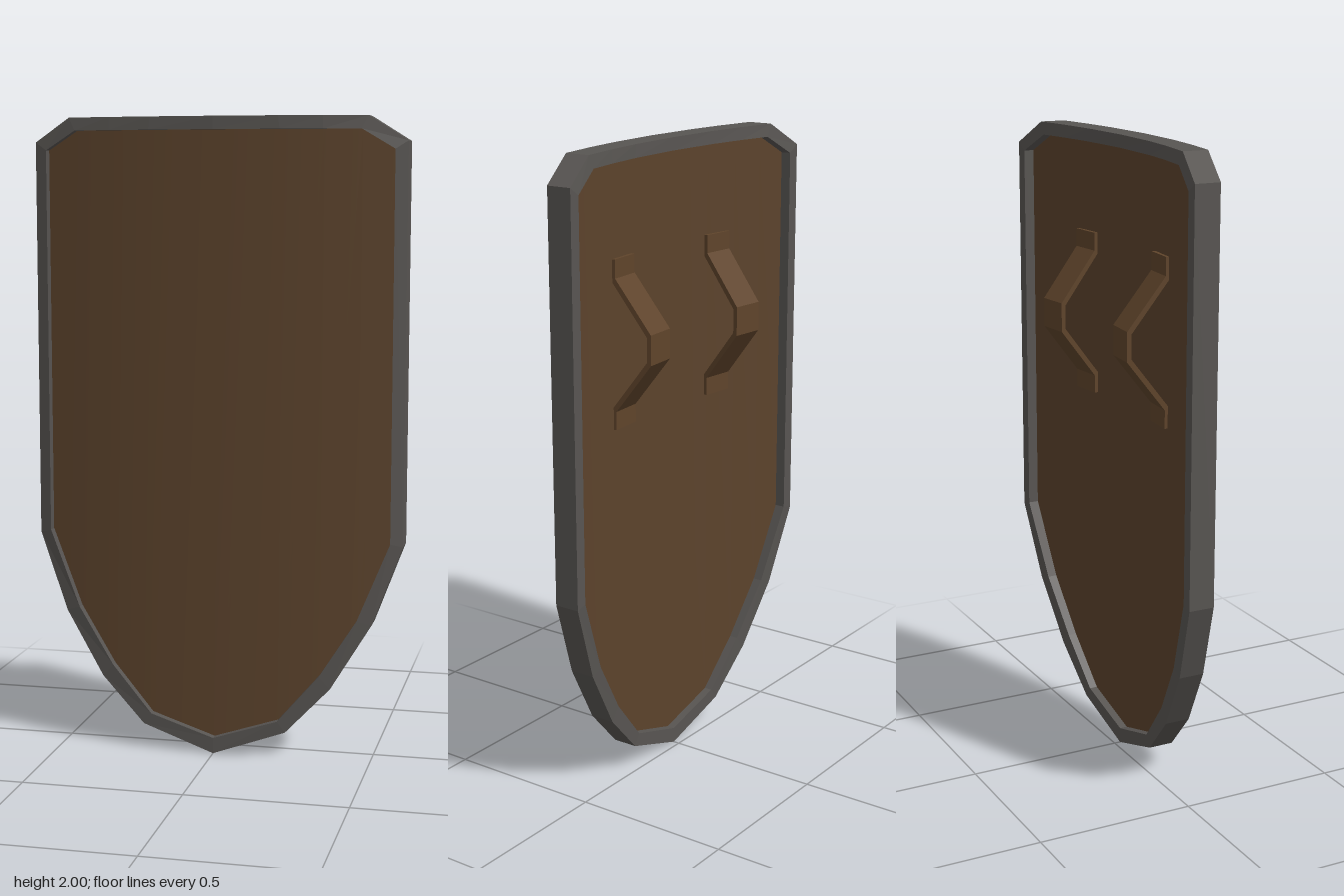
import * as THREE from 'three';

const steel = new THREE.MeshStandardMaterial({ color: 0x585552 });
steel.name = 'darkSteel';
steel.flatShading = true;
const wood = new THREE.MeshStandardMaterial({ color: 0x5c432c });
wood.name = 'brownWood';
const strapBrown = new THREE.MeshStandardMaterial({ color: 0x5f442b });
strapBrown.name = 'strapBrown';
strapBrown.flatShading = true;

// Half outlines as [x, y], from the centre line to the side
const outerBottom = [[0, 0], [0.23, 0.08], [0.37, 0.225], [0.495, 0.43], [0.588, 0.68]];
const outerTop = [[0, 2], [0.2, 2], [0.335, 2], [0.47, 2], [0.588, 1.925]];
const innerBottom = [[0, 0.05], [0.205, 0.115], [0.335, 0.265], [0.45, 0.445], [0.55, 0.69]];
const innerTop = [[0, 1.96], [0.205, 1.96], [0.335, 1.96], [0.45, 1.96], [0.55, 1.9]];

// Shield bows back towards its sides
const bow = (x, z, k) => z - k * x * x;
const mirror = (pts) => pts.slice(1).map(([x, y]) => [-x, y]);

// Closed loop, counter-clockwise seen from the front
const loop = (bottom, top) => [
  ...bottom, ...top.slice().reverse(), ...mirror(top), ...mirror(bottom).reverse(),
];

function buildGeometry(positions, indices) {
  const g = new THREE.BufferGeometry();
  g.setAttribute('position', new THREE.Float32BufferAttribute(positions, 3));
  g.setIndex(indices);
  g.computeVertexNormals();
  return g;
}

// Rim: a four-cornered section carried round the outline
function rimGeometry() {
  const outer = loop(outerBottom, outerTop), inner = loop(innerBottom, innerTop);
  const n = outer.length, pos = [], idx = [];
  outer.forEach(([ox, oy], i) => {
    const [ix, iy] = inner[i];
    pos.push(ox, oy, bow(ox, 0.1, 0.21), ix, iy, bow(ix, 0.1, 0.19));
    pos.push(ix, iy, bow(ix, 0.02, 0.24), ox, oy, bow(ox, 0.02, 0.215));
    const a = i * 4, b = ((i + 1) % n) * 4;
    for (let j = 0; j < 4; j++) {
      const k = (j + 1) % 4;
      idx.push(a + j, b + j, b + k, a + j, b + k, a + k);
    }
  });
  return buildGeometry(pos, idx);
}

// One curved face of the board, made of upright strips
function boardGeometry(z, back) {
  const bottom = [...mirror(innerBottom).reverse(), ...innerBottom];
  const top = [...mirror(innerTop).reverse(), ...innerTop];
  const pos = [], idx = [];
  bottom.forEach(([x, y], i) => {
    pos.push(x, y, bow(x, z, 0.215), x, top[i][1], bow(x, z, 0.215));
    if (i === 0) return;
    const a = 2 * i - 2, b = 2 * i;
    if (back) idx.push(a, b + 1, b, a, a + 1, b + 1);
    else idx.push(a, b, b + 1, a, b + 1, a + 1);
  });
  return buildGeometry(pos, idx);
}

// Strap: bent band with flat tabs, drawn as [outward, height]
function strapGeometry() {
  const outside = [[0, 0.26], [0.014, 0.26], [0.014, 0.203], [0.136, 0.046]];
  const inside = [[0.122, 0.038], [0, 0.196]];
  const flip = (pts) => pts.slice().reverse().map(([d, h]) => [d, -h]);
  const pts = [...outside, ...flip(outside), ...flip(inside).map((p) => p), ...inside];
  const shape = new THREE.Shape(pts.map(([d, h]) => new THREE.Vector2(d, h)));
  const g = new THREE.ExtrudeGeometry(shape, { depth: 0.11, bevelEnabled: false });
  g.translate(0, 0, -0.055);
  g.rotateY(Math.PI / 2);
  return g;
}

export function createModel() {
  const shield = new THREE.Group();
  shield.name = 'shield';
  const add = (name, geometry, material) => {
    const mesh = new THREE.Mesh(geometry, material);
    mesh.name = name;
    shield.add(mesh);
    return mesh;
  };

  add('rim', rimGeometry(), steel);
  add('boardFront', boardGeometry(0.075, false), wood);
  add('boardBack', boardGeometry(0.045, true), wood);

  // Pair of arm straps on the back, square to the curve
  const strap = strapGeometry();
  for (const side of [1, -1]) {
    const mesh = add(side > 0 ? 'leftStrap' : 'rightStrap', strap, strapBrown);
    mesh.position.set(side * 0.247, 1.415, 0.034);
    mesh.rotation.y = side * 0.09;
  }
  return shield;
}
